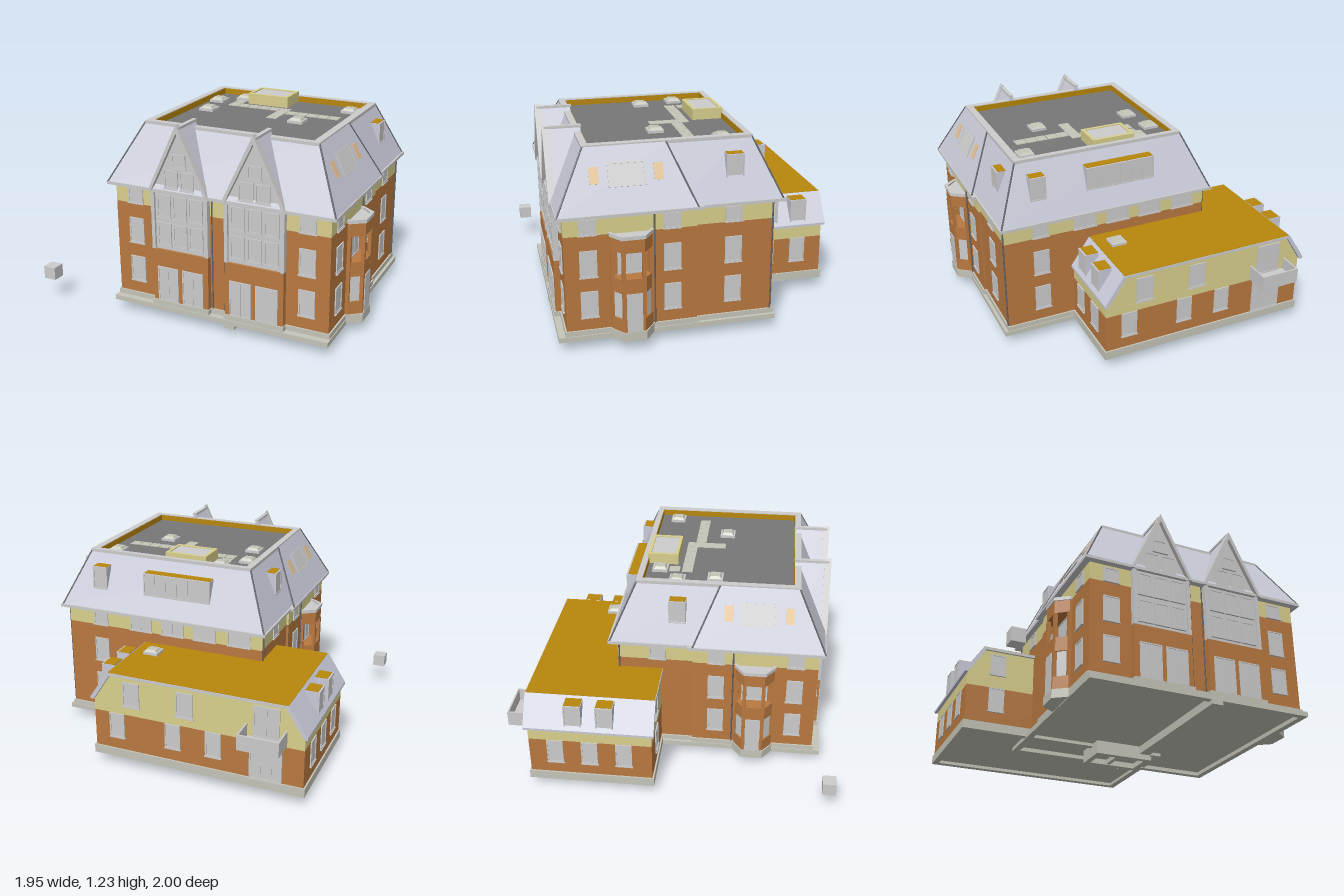
import * as THREE from 'three';

const mat = (color) => new THREE.MeshStandardMaterial({ color, side: THREE.DoubleSide });
const GREY = mat(0xcccccc), BRICK = mat(0xb87840), CREAM = mat(0xd8cf8c), SLATE = mat(0xc8cad8),
  GOLD = mat(0xb8860b), DECK = mat(0x777777), STONE = mat(0xc4c4b8), DARK = mat(0x66666a), TAN = mat(0xe0bf90);
const FRONT = 0, RIGHT = Math.PI / 2, BACK = Math.PI, LEFT = -Math.PI / 2;
const MID = 0.19; // centre line of the main block

function add(parent, name, geometry, material) {
  const m = new THREE.Mesh(geometry, material);
  m.name = name;
  parent.add(m);
  return m;
}
// Box given by its limits
function box(p, name, m, x0, x1, y0, y1, z0, z1) {
  const g = new THREE.BoxGeometry(x1 - x0, y1 - y0, z1 - z0);
  g.translate((x0 + x1) / 2, (y0 + y1) / 2, (z0 + z1) / 2);
  return add(p, name, g, m);
}
// Upright outline pushed along z
function panel(p, name, m, pts, z0, z1, hole) {
  const s = new THREE.Shape(pts.map((q) => new THREE.Vector2(...q)));
  if (hole) s.holes.push(new THREE.Path(hole.map((q) => new THREE.Vector2(...q))));
  const g = new THREE.ExtrudeGeometry(s, { depth: z1 - z0, bevelEnabled: false });
  return add(p, name, g.translate(0, 0, z0), m);
}
// Plan outline of [x, z] points pushed upward
function slab(p, name, m, pts, y0, y1, hole) {
  const flip = (a) => a.map(([x, z]) => [x, -z]);
  const mesh = panel(p, name, m, flip(pts), y0, y1, hole && flip(hole));
  mesh.geometry.rotateX(-Math.PI / 2);
}
const rect = (x0, x1, y0, y1) => [[x0, y0], [x1, y0], [x1, y1], [x0, y1]];
// Hollow rectangular rim of wall thickness t
const rim = (p, name, m, [x0, x1, z0, z1], y0, y1, t) =>
  slab(p, name, m, rect(x0, x1, z0, z1), y0, y1, rect(x0 + t, x1 - t, z0 + t, z1 - t));
// Group whose local +z points out of a wall, leaning back by tilt
function place(p, name, x, y, z, dir, tilt = 0) {
  const g = new THREE.Group();
  g.name = name;
  g.position.set(x, y, z);
  g.rotation.set(-tilt, dir, 0, 'YXZ');
  p.add(g);
  return g;
}
function bar(p, name, m, a, b, r) {
  const A = new THREE.Vector3(...a), B = new THREE.Vector3(...b);
  const mesh = add(p, name, new THREE.CylinderGeometry(r, r, A.distanceTo(B), 6), m);
  mesh.position.copy(A).lerp(B, 0.5);
  mesh.quaternion.setFromUnitVectors(new THREE.Vector3(0, 1, 0), B.sub(A).normalize());
}
function pane(p, w, h, cols = 1) {
  const t = 0.008;
  panel(p, 'windowFrame', GREY, rect(-w / 2, w / 2, 0, h), 0, 0.007, rect(-w / 2 + t, w / 2 - t, t, h - t));
  box(p, 'windowPane', GREY, -w / 2 + t, w / 2 - t, t, h - t, 0, 0.003);
  for (let i = 1; i < cols; i++) {
    const x = -w / 2 + (w * i) / cols;
    box(p, 'mullion', GREY, x - 0.004, x + 0.004, t, h - t, 0, 0.006);
  }
}
function win(p, x, y, z, dir, w = 0.1, h = 0.16, cols = 1) {
  const g = place(p, 'window', x, y, z, dir);
  pane(g, w, h, cols);
  box(g, 'windowSill', GREY, -w / 2 - 0.004, w / 2 + 0.004, -0.006, 0, 0, 0.011);
}
// Sloping roof sides between plan rectangles [x0, x1, z0, z1], leaving one side open
function mansard(p, name, lo, y0, hi, y1, open) {
  const ring = ([x0, x1, z0, z1], y) => [[x0, y, z1], [x1, y, z1], [x1, y, z0], [x0, y, z0]];
  const a = ring(lo, y0), b = ring(hi, y1), v = [];
  for (let i = 0; i < 4; i++) {
    const j = (i + 1) % 4;
    if (i !== open) v.push(...a[i], ...a[j], ...b[j], ...a[i], ...b[j], ...b[i]);
    bar(p, 'hipRib', DARK, a[i], b[i], 0.005);
  }
  const g = new THREE.BufferGeometry();
  g.setAttribute('position', new THREE.Float32BufferAttribute(v, 3));
  g.computeVertexNormals();
  add(p, name, g, SLATE);
}
function dormer(p, x, y, z, dir, w, h, d, cols = 1) {
  const g = place(p, 'dormer', x, y, z, dir);
  box(g, 'dormerBody', SLATE, -w / 2, w / 2, 0, h, -d, 0);
  box(g, 'dormerRoof', GOLD, -w / 2 + 0.004, w / 2 - 0.004, h, h + 0.003, -d, -0.004);
  pane(g, w, h, cols);
}
function roofLight(p, x, y, z) {
  const g = place(p, 'roofLight', x, y, z, 0);
  box(g, 'roofLightCurb', GREY, -0.048, 0.048, 0, 0.016, -0.048, 0.048);
  const dome = add(g, 'roofLightDome', new THREE.CylinderGeometry(0.04, 0.055, 0.014, 4).toNonIndexed(), STONE);
  dome.geometry.computeVertexNormals();
  dome.rotation.y = Math.PI / 4;
  dome.position.y = 0.023;
}

function mainBlock(root) {
  const g = place(root, 'mainBlock', 0, 0, 0, 0);
  // Hollow footing, foundation beam and cellar pit
  rim(g, 'footing', STONE, [-0.51, 0.89, -0.38, 0.915], 0.06, 0.09, 0.04);
  box(g, 'foundationBeam', STONE, 0.24, 0.31, 0.035, 0.09, -0.37, 0.915);
  rim(g, 'cellarWall', STONE, [-0.06, 0.32, -0.25, -0.02], 0, 0.05, 0.035);
  box(g, 'cellarCeiling', STONE, -0.06, 0.32, 0.035, 0.09, -0.25, -0.02);
  box(g, 'cellarPartition', STONE, 0.09, 0.115, 0.005, 0.04, -0.23, -0.04);
  // Plinth and storeys, the front half slightly wider
  for (const [x0, x1, z0, z1] of [[-0.495, 0.875, 0.1, 0.865], [-0.48, 0.86, -0.365, 0.1]]) {
    box(g, 'plinth', STONE, x0 - 0.01, x1 + 0.01, 0.085, 0.12, z0 - 0.01, z1 + 0.01);
    box(g, 'brickWall', BRICK, x0, x1, 0.12, 0.7, z0, z1);
    box(g, 'upperWall', CREAM, x0, x1, 0.7, 0.82, z0, z1);
  }
  // Windows
  for (const [y, h] of [[0.2, 0.16], [0.45, 0.16], [0.705, 0.09]]) {
    for (const x of [-0.36, 0.74]) win(g, x, y, 0.865, FRONT, 0.1, h);
    for (const z of [0.73, 0.245, -0.12]) {
      const o = z > 0.1 ? 0.685 : 0.67;
      win(g, MID + o, y, z, RIGHT, 0.1, h);
      if (z > 0 || y > 0.6) win(g, MID - o, y, z, LEFT, 0.1, h);
    }
    win(g, 0.63, y, -0.365, BACK, 0.1, h);
  }
  for (const x of [-0.33, -0.1, 0.12, 0.34]) win(g, x, 0.705, -0.365, BACK, 0.15, 0.09, 2);
  // Downpipes
  for (const s of [-1, 1]) {
    bar(g, 'downpipe', DARK, [MID + s * 0.69, 0.08, 0.35], [MID + s * 0.69, 0.82, 0.35], 0.005);
    bar(g, 'downpipe', DARK, [MID + s * 0.675, 0.08, -0.355], [MID + s * 0.675, 0.82, -0.355], 0.005);
    bar(g, 'downpipe', DARK, [MID + s * 0.04, 0.12, 0.87], [MID + s * 0.04, 0.82, 0.87], 0.004);
  }
  // Mansard roof, eaves and sunken deck
  box(g, 'eaves', GREY, -0.515, 0.895, 0.81, 0.828, -0.42, 0.12);
  box(g, 'eaves', GREY, -0.535, 0.915, 0.81, 0.828, 0.07, 0.905);
  mansard(g, 'rearRoof', [-0.505, 0.885, -0.41, 0.3], 0.825, [-0.355, 0.735, -0.255, 0.3], 1.17, 0);
  mansard(g, 'frontRoof', [-0.53, 0.91, 0.1, 0.9], 0.825, [-0.36, 0.74, 0.25, 0.725], 1.17, 2);
  slab(g, 'parapet', GREY, rect(-0.36, 0.74, -0.26, 0.73), 1.13, 1.178, rect(-0.32, 0.695, -0.225, 0.69));
  rim(g, 'parapetLining', GOLD, [-0.321, 0.696, -0.226, 0.691], 1.13, 1.174, 0.004);
  box(g, 'roofDeck', DECK, -0.33, 0.7, 1.12, 1.138, -0.235, 0.7);
  // Paved path on the deck
  const paver = (x, z) => box(g, 'paver', STONE, x, x + 0.066, 1.138, 1.142, z, z + 0.066);
  for (let i = 0; i < 6; i++) {
    paver(-0.15 + i * 0.07, -0.005);
    paver(0.2 + i * 0.07, 0.045);
  }
  paver(-0.15, -0.085);
  for (const z of [0.11, 0.175]) paver(0.2, z);
  // Stair head and roof lights
  box(g, 'stairHead', CREAM, -0.053, 0.222, 1.13, 1.195, -0.23, -0.037);
  rim(g, 'stairHeadRim', CREAM, [-0.053, 0.222, -0.23, -0.037], 1.195, 1.206, 0.02);
  box(g, 'stairHeadRoof', GREY, -0.033, 0.202, 1.195, 1.2, -0.21, -0.057);
  for (const [x, z] of [[-0.12, -0.14], [-0.255, -0.02], [-0.21, 0.21], [0.41, 0.245], [0.62, -0.11]]) roofLight(g, x, 1.138, z);
  // Dormers
  dormer(g, 0.82, 0.945, -0.135, RIGHT, 0.105, 0.148, 0.09);
  dormer(g, -0.445, 0.945, 0, LEFT, 0.105, 0.148, 0.09);
  dormer(g, 0.63, 0.945, -0.35, BACK, 0.1, 0.148, 0.09);
  dormer(g, 0.095, 0.945, -0.35, BACK, 0.45, 0.145, 0.09, 6);
  // Sloping windows in both sides of the front roof
  for (const s of [-1, 1]) {
    const o = (y) => MID + s * (0.72 - 0.493 * (y - 0.825));
    const tilt = Math.atan(0.493), dir = s * RIGHT;
    const big = place(g, 'skylight', o(0.955) - s * 0.012, 0.955, 0.49, dir, tilt);
    panel(big, 'skylightFrame', GREY, rect(-0.107, 0.107, 0, 0.142), 0, 0.018, rect(-0.095, 0.095, 0.012, 0.13));
    box(big, 'skylightGlass', GREY, -0.095, 0.095, 0.012, 0.13, 0, 0.014);
    for (const z of [0.31, 0.675]) {
      const small = place(g, 'smallSkylight', o(0.98) - s * 0.006, 0.98, z, dir, tilt);
      box(small, 'smallSkylightPane', TAN, -0.026, 0.026, 0, 0.095, -0.01, 0.01);
    }
  }
}

// Tall front gable with paired doors under it
function gable(root, x) {
  const g = place(root, 'frontGable', x, 0, 0, 0);
  box(g, 'gablePlinth', STONE, -0.19, 0.19, 0.085, 0.12, 0.8, 0.91);
  box(g, 'gableBrick', BRICK, -0.185, 0.185, 0.12, 0.45, 0.8, 0.9);
  panel(g, 'gableWall', GREY, [[-0.185, 0.45], [0.185, 0.45], [0.185, 0.82], [0, 1.2], [-0.185, 0.82]], 0.84, 0.885);
  panel(g, 'gableRoof', SLATE, [[-0.195, 0.82], [0.195, 0.82], [0, 1.215]], 0.69, 0.88);
  panel(g, 'verge', GREY, [[-0.2, 0.81], [-0.18, 0.81], [0, 1.18], [0.18, 0.81], [0.2, 0.81], [0, 1.23]], 0.87, 0.912);
  box(g, 'ridge', GREY, -0.013, 0.013, 1.2, 1.215, 0.685, 0.9);
  for (const s of [-1, 1]) {
    box(g, 'gablePilaster', GREY, s * 0.175 - 0.011, s * 0.175 + 0.011, 0.45, 0.82, 0.87, 0.9);
    const door = place(g, 'door', s * 0.083, 0.12, 0.9, FRONT);
    pane(door, 0.138, 0.222, 2);
  }
  // Window rows narrowing toward the peak
  for (const [y, h, n] of [[0.48, 0.14, 3], [0.655, 0.14, 3], [0.84, 0.11, 2], [0.97, 0.08, 1]]) {
    for (let i = 0; i < n; i++) win(g, (i - (n - 1) / 2) * 0.105, y, 0.885, FRONT, 0.09, h);
  }
}

// Three-sided bay with an open upper storey
function bay(root, x, dir) {
  const g = place(root, 'bayWindow', x, 0, 0.485, dir);
  const plan = (e) => [[-0.12 - e, -0.02], [-0.12 - e, 0.015], [-0.062 - e, 0.09 + e], [0.062 + e, 0.09 + e], [0.12 + e, 0.015], [0.12 + e, -0.02]];
  slab(g, 'bayPlinth', STONE, plan(0.006), 0.065, 0.12);
  for (const [y0, y1] of [[0.12, 0.2], [0.36, 0.45], [0.61, 0.69]]) slab(g, 'bayBand', BRICK, plan(0), y0, y1);
  slab(g, 'bayGlass', GREY, plan(-0.008), 0.2, 0.36);
  slab(g, 'bayRoof', GREY, plan(0.006), 0.69, 0.7);
  slab(g, 'bayRoofRim', GREY, plan(0.006), 0.7, 0.712, plan(-0.012));
  for (const [px, pz] of [[-0.11, 0.012], [-0.058, 0.08], [0.058, 0.08], [0.11, 0.012]]) {
    box(g, 'bayPost', BRICK, px - 0.011, px + 0.011, 0.2, 0.61, pz - 0.011, pz + 0.011);
  }
  box(g, 'bayDoor', GREY, -0.045, 0.045, 0.08, 0.36, 0.08, 0.095);
  win(g, 0, 0.45, 0, 0, 0.16, 0.16, 2);
}

function annex(root) {
  const g = place(root, 'annex', 0, 0, 0, 0);
  rim(g, 'annexFooting', STONE, [-0.925, 0.43, -0.86, -0.09], 0.065, 0.09, 0.04);
  box(g, 'annexPlinth', STONE, -0.925, 0.43, 0.085, 0.12, -0.86, -0.09);
  box(g, 'annexBrick', BRICK, -0.915, 0.42, 0.12, 0.36, -0.85, -0.1);
  panel(g, 'annexUpperWall', CREAM, [[-0.915, 0.36], [0.42, 0.36], [0.42, 0.45], [0.31, 0.615], [-0.815, 0.615], [-0.915, 0.45]], -0.85, -0.1);
  box(g, 'annexRoofEdge', GREY, -0.82, 0.315, 0.612, 0.63, -0.872, -0.085);
  box(g, 'annexRoof', GOLD, -0.816, 0.311, 0.63, 0.633, -0.868, -0.089);
  // Sloping sides with eaves and dormers
  for (const [e, t, dir, zs] of [[-0.935, -0.82, LEFT, [-0.57, -0.38]], [0.435, 0.315, RIGHT, [-0.5, -0.69]]]) {
    const s = Math.sign(e);
    panel(g, 'annexSlope', SLATE, [[e, 0.44], [e, 0.455], [t, 0.632], [t - s * 0.015, 0.615], [e - s * 0.02, 0.44]], -0.872, -0.085);
    for (const z of zs) dormer(g, e - s * 0.02, 0.455, z, dir, 0.105, 0.165, 0.08);
  }
  for (const z of [-0.48, -0.69]) win(g, 0.42, 0.2, z, RIGHT);
  for (const z of [-0.69, -0.48, -0.27]) win(g, -0.915, 0.2, z, LEFT);
  win(g, -0.72, 0.2, -0.1, FRONT);
  win(g, -0.72, 0.45, -0.1, FRONT, 0.1, 0.14);
  for (const x of [0.27, -0.1, -0.36]) win(g, x, 0.2, -0.85, BACK);
  for (const x of [0.17, -0.18]) win(g, x, 0.42, -0.85, BACK, 0.11, 0.16);
  // Back door and balcony above it
  win(g, -0.685, 0.12, -0.85, BACK, 0.2, 0.24, 3);
  win(g, -0.685, 0.39, -0.85, BACK, 0.16, 0.2, 2);
  box(g, 'balconyFloor', GREY, -0.81, -0.56, 0.37, 0.39, -1, -0.85);
  box(g, 'balconyFront', GREY, -0.81, -0.56, 0.39, 0.465, -1, -0.99);
  for (const x of [-0.81, -0.57]) box(g, 'balconySide', GREY, x, x + 0.01, 0.39, 0.465, -0.99, -0.85);
  roofLight(g, 0.19, 0.632, -0.5);
}

export function createModel() {
  const root = new THREE.Group();
  root.name = 'house';
  mainBlock(root);
  for (const x of [-0.05, 0.427]) gable(root, x);
  bay(root, 0.875, RIGHT);
  bay(root, -0.495, LEFT);
  annex(root);
  // Small detached cube in the front yard
  box(root, 'detachedCube', GREY, -0.98, -0.9, 0.145, 0.225, 0.92, 1);
  return root;
}
